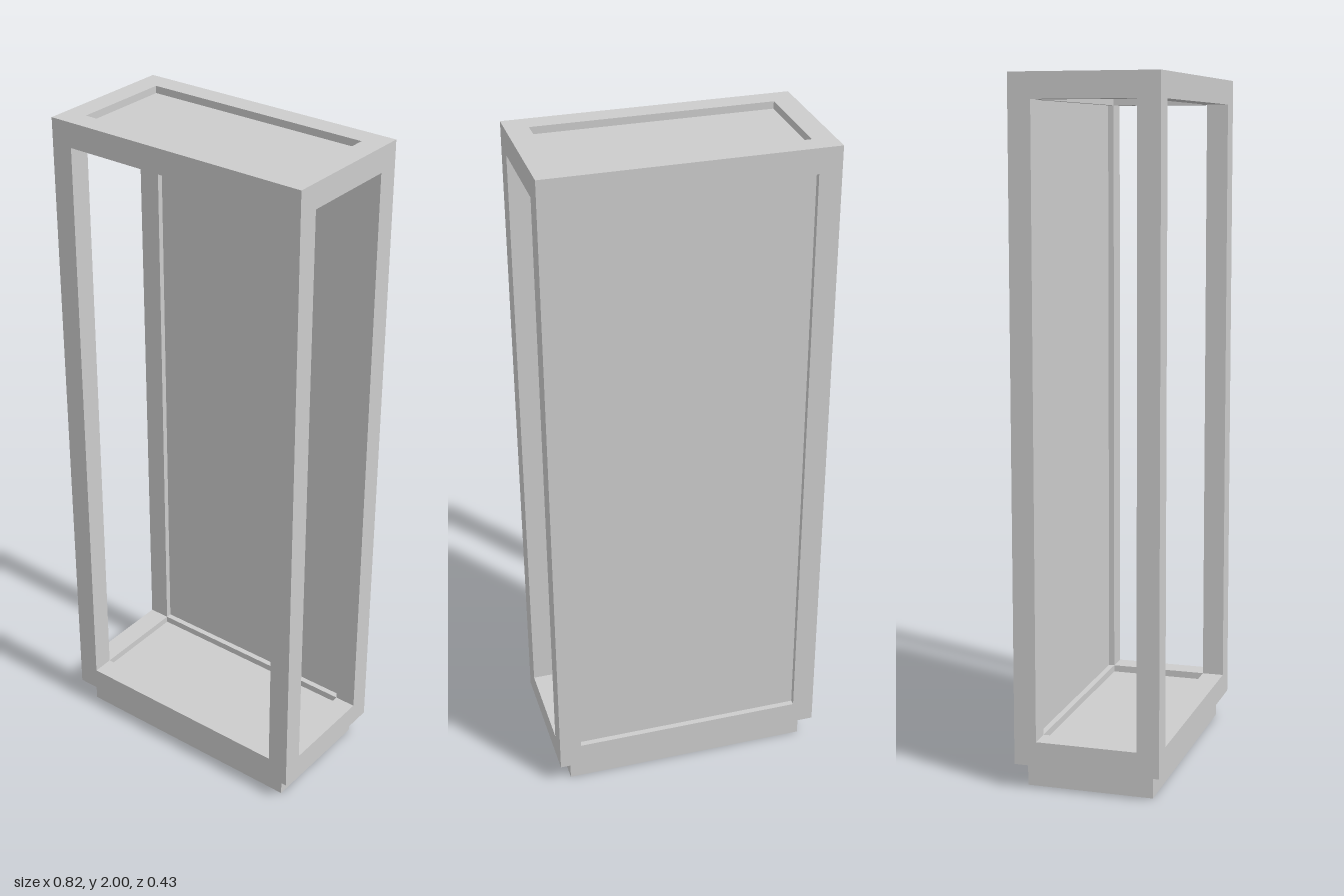
import * as THREE from 'three';

// Outer half-sizes of the frame, its opening, and its heights
const X = 0.41, Z = 0.213, BAR = 0.065;
const XI = X - BAR, ZI = Z - BAR;
const Y0 = 0.072, Y1 = 0.143, Y2 = 1.928, Y3 = 2;
const PANEL = 0.03; // panels sit midway through the bar depth

export function createModel() {
  const group = new THREE.Group();
  const material = new THREE.MeshStandardMaterial({ color: 0xcccccc, flatShading: true });

  const box = (name, x0, x1, y0, y1, z0, z1) => {
    const mesh = new THREE.Mesh(new THREE.BoxGeometry(x1 - x0, y1 - y0, z1 - z0), material);
    mesh.position.set((x0 + x1) / 2, (y0 + y1) / 2, (z0 + z1) / 2);
    mesh.name = name;
    group.add(mesh);
  };

  // Rectangular ring lying flat between two heights
  const ring = (name, y0, y1) => {
    const rect = (T, a, b) => new T([[-a, -b], [a, -b], [a, b], [-a, b]].map(p => new THREE.Vector2(...p)));
    const shape = rect(THREE.Shape, X, Z);
    shape.holes.push(rect(THREE.Path, XI, ZI));
    const geometry = new THREE.ExtrudeGeometry(shape, { depth: y1 - y0, bevelEnabled: false });
    geometry.rotateX(-Math.PI / 2);
    const mesh = new THREE.Mesh(geometry, material);
    mesh.position.y = y0;
    mesh.name = name;
    group.add(mesh);
  };

  // Plinth, set back from the frame
  box('plinth', -0.374, 0.374, 0, Y0, -0.185, 0.185);

  // Frame: bottom and top rings joined by four corner posts
  ring('bottomFrame', Y0, Y1);
  ring('topFrame', Y2, Y3);
  for (const [sx, side] of [[-1, 'Right'], [1, 'Left']]) {
    for (const [sz, end] of [[-1, 'back'], [1, 'front']]) {
      const x = sx * (X + XI) / 2, z = sz * (Z + ZI) / 2;
      box(`${end}${side}Post`, x - BAR / 2, x + BAR / 2, Y1, Y2, z - BAR / 2, z + BAR / 2);
    }
  }

  // Recessed infill panels: back, top and floor
  const zp = -(Z + ZI) / 2;
  box('backPanel', -XI, XI, Y1, Y2, zp - PANEL / 2, zp + PANEL / 2);
  for (const [name, y] of [['topPanel', (Y2 + Y3) / 2], ['floorPanel', (Y0 + Y1) / 2]]) {
    box(name, -XI, XI, y - PANEL / 2, y + PANEL / 2, -ZI, ZI);
  }

  return group;
}
